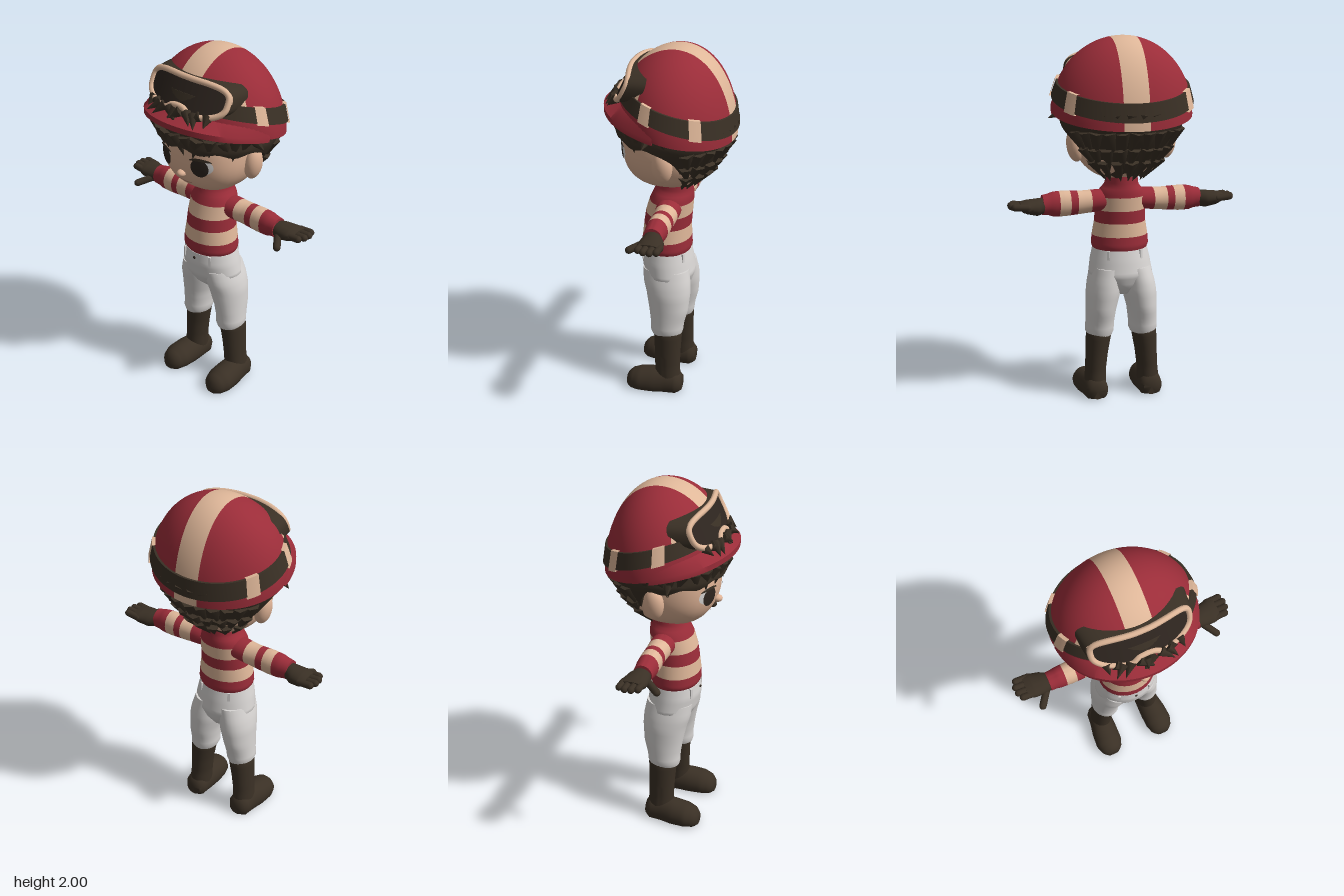
import * as THREE from 'three';
import { mergeVertices, toCreasedNormals } from 'three/addons/utils/BufferGeometryUtils.js';
import { ParametricGeometry } from 'three/addons/geometries/ParametricGeometry.js';

const { sin, cos, abs, sign, max, min, PI, pow, sqrt } = Math;
const V = (x, y, z) => new THREE.Vector3(x, y, z);

export function createModel() {
  const model = new THREE.Group();
  const mat = (name, color, side = THREE.FrontSide) => {
    const m = new THREE.MeshStandardMaterial({ color, side });
    m.name = name;
    return m;
  };
  const red = mat('silk red', 0x9b2d39, THREE.DoubleSide);
  const cream = mat('cream', 0xdfb799, THREE.DoubleSide);
  const skinTone = mat('skin', 0xdeb295);
  const brown = mat('hair and leather brown', 0x3a3025);
  const white = mat('breeches white', 0xd9d6d4);
  const eyeDark = mat('eye dark', 0x2e251f);
  const lip = mat('lip', 0xb98470);

  const add = (name, geo, m) => {
    const mesh = new THREE.Mesh(geo, m);
    mesh.name = name;
    model.add(mesh);
    return mesh;
  };
  // Surface from a rule f(u, v) -> [x, y, z]; side -1 mirrors it
  const surface = (name, m, f, nu, nv, side = 1) => {
    const g = new ParametricGeometry((u, v, t) => {
      const p = f(side > 0 ? u : 1 - u, v);
      t.set(p[0] * side, p[1], p[2]);
    }, nu, nv);
    g.deleteAttribute('normal');
    g.deleteAttribute('uv');
    return add(name, toCreasedNormals(mergeVertices(g, 1e-5), 0.95), m);
  };
  // Capped elliptical loft; rows are [s, c1, c2, r1, r2] along an axis
  const sample = (rows, s) => {
    let i = 0;
    while (i < rows.length - 2 && s > rows[i + 1][0]) i++;
    const t = min(1, max(0, (s - rows[i][0]) / (rows[i + 1][0] - rows[i][0])));
    return rows[i].map((q, k) => q + (rows[i + 1][k] - q) * t);
  };
  const loft = (name, m, rows, axis, side = 1, s0 = rows[0][0], s1 = rows[rows.length - 1][0], n = 16) =>
    surface(name, m, (u, v) => {
      const k = Math.round(v * (n + 2)), a = u * 2 * PI;
      const r = sample(rows, s0 + (s1 - s0) * min(n, max(0, k - 1)) / n);
      const e = k === 0 || k === n + 2 ? 0 : 1;
      const p = r[3] * e, q = r[4] * e;
      if (axis === 'y') return [r[1] + p * sin(a), r[0], r[2] + q * cos(a)];
      if (axis === 'x') return [r[0], r[1] - p * sin(a), r[2] + q * cos(a)];
      return [r[1] + p * cos(a), max(0, r[2] + q * sin(a)), r[0]];
    }, 28, n + 2, side);
  const ball = (name, m, x, y, z, rx, ry, rz) => {
    const b = add(name, new THREE.SphereGeometry(1, 20, 14), m);
    b.position.set(x, y, z);
    b.scale.set(rx, ry, rz);
    return b;
  };
  // Geometry standing on y turned to run from p to q
  const between = (name, geo, m, p, q) => {
    const b = add(name, geo, m);
    b.position.copy(p).add(q).multiplyScalar(0.5);
    b.quaternion.setFromUnitVectors(V(0, 1, 0), q.clone().sub(p).normalize());
    return b;
  };
  const lock = (name, p, q, w) => between(name, new THREE.ConeGeometry(w, p.distanceTo(q), 6), brown, p, q);
  const finger = (name, p, q, r) => between(name, new THREE.CapsuleGeometry(r, p.distanceTo(q), 5, 10), brown, p, q);

  // Jersey body with hoops
  const torso = [[0.835, 0, 0.03, 0.148, 0.128], [0.86, 0, 0.033, 0.16, 0.138], [0.915, 0, 0.033, 0.155, 0.135],
    [0.99, 0, 0.03, 0.142, 0.13], [1.06, 0, 0.022, 0.138, 0.128], [1.135, 0, 0.008, 0.135, 0.12],
    [1.17, 0, 0, 0.12, 0.112], [1.2, 0, -0.005, 0.092, 0.102], [1.26, 0, -0.015, 0.085, 0.09]];
  const hoops = [0.835, 0.915, 0.99, 1.06, 1.135, 1.26];
  for (let i = 0; i < 5; i++) loft('jerseyHoop', i % 2 ? cream : red, torso, 'y', 1, hoops[i], hoops[i + 1], 8);

  // Breeches seat
  loft('breechesSeat', white, [[0.59, 0, 0, 0.04, 0.07], [0.64, 0, 0.01, 0.12, 0.115], [0.7, 0, 0.017, 0.18, 0.142],
    [0.78, 0, 0.03, 0.167, 0.142], [0.845, 0, 0.034, 0.152, 0.132]], 'y');
  ball('waistButton', eyeDark, 0, 0.815, 0.17, 0.008, 0.008, 0.006);

  const arm = [[0.06, 1.115, 0, 0.055, 0.07], [0.13, 1.113, -0.005, 0.06, 0.068], [0.22, 1.108, -0.01, 0.063, 0.06],
    [0.32, 1.106, -0.01, 0.07, 0.06], [0.38, 1.105, -0.01, 0.068, 0.057], [0.41, 1.105, -0.01, 0.058, 0.053],
    [0.44, 1.103, -0.01, 0.054, 0.052]];
  const cuts = [0.06, 0.175, 0.25, 0.29, 0.35, 0.44];
  const glove = [[0.43, 1.1, -0.012, 0.042, 0.048], [0.47, 1.095, -0.02, 0.047, 0.062],
    [0.53, 1.1, -0.026, 0.037, 0.07], [0.565, 1.107, -0.028, 0.022, 0.065]];
  const leg = [[0.355, 0.125, 0.003, 0.07, 0.085], [0.37, 0.125, 0.003, 0.08, 0.092], [0.42, 0.123, 0, 0.079, 0.094],
    [0.5, 0.117, -0.005, 0.083, 0.11], [0.6, 0.103, 0, 0.095, 0.124], [0.66, 0.095, 0.01, 0.093, 0.132],
    [0.74, 0.075, 0.02, 0.09, 0.13]];
  const shaft = [[0.05, 0.155, -0.012, 0.062, 0.075], [0.15, 0.15, -0.007, 0.058, 0.071], [0.25, 0.142, -0.006, 0.062, 0.074],
    [0.36, 0.13, -0.005, 0.071, 0.08], [0.375, 0.13, -0.005, 0.066, 0.076]];
  const foot = [[-0.092, 0.155, 0.045, 0.045, 0.045], [-0.065, 0.156, 0.045, 0.065, 0.075], [0, 0.158, 0.045, 0.07, 0.085],
    [0.07, 0.164, 0.042, 0.078, 0.085], [0.15, 0.168, 0.04, 0.08, 0.075], [0.2, 0.168, 0.035, 0.062, 0.06],
    [0.222, 0.168, 0.03, 0.035, 0.035]];
  for (const s of [1, -1]) {
    // Sleeves, gloves
    for (let i = 0; i < 5; i++) loft('sleeveHoop', i % 2 ? cream : red, arm, 'x', s, cuts[i], cuts[i + 1], 8);
    loft('glove', brown, glove, 'x', s);
    [[-0.078, 0.6], [-0.046, 0.612], [-0.012, 0.61], [0.02, 0.595]].forEach(([z, x]) =>
      finger('gloveFinger', V(s * 0.53, 1.104, z), V(s * x, 1.11, z), 0.019));
    finger('gloveThumb', V(s * 0.465, 1.085, 0.025), V(s * 0.515, 1.06, 0.092), 0.02);
    // Legs, boots, belt loops
    loft('breechesLeg', white, leg, 'y', s);
    loft('bootShaft', brown, shaft, 'y', s);
    loft('bootFoot', brown, foot, 'z', s, -0.092, 0.222, 24);
    for (const [x, z] of [[0.09, 0.145], [0.09, -0.078]]) {
      const loop = add('beltLoop', new THREE.BoxGeometry(0.014, 0.06, 0.014), white);
      loop.position.set(s * x, 0.812, z);
      loop.rotation.y = s * sign(z) * 0.5;
    }
    ball('ear', skinTone, s * 0.257, 1.42, -0.01, 0.046, 0.09, 0.055).rotation.z = -s * 0.12;
  }

  // Rounded head
  const P = 2.4, H = [0.25, 0.242, 0.245], hc = [0, 1.472, 0.02];
  const head = new THREE.SphereGeometry(1, 40, 30), hp = head.attributes.position;
  for (let i = 0; i < hp.count; i++) {
    const q = [hp.getX(i), hp.getY(i), hp.getZ(i)];
    const k = pow(q.reduce((t, c) => t + pow(abs(c), P), 0), -1 / P);
    hp.setXYZ(i, ...q.map((c, j) => hc[j] + c * k * H[j]));
  }
  head.computeVertexNormals();
  add('head', head, skinTone);
  ball('nose', skinTone, 0, 1.375, 0.258, 0.025, 0.02, 0.028);
  const faceZ = (x, y) => hc[2] + H[2] * pow(max(0, 1 - pow(abs(x / H[0]), P) - pow(abs((y - hc[1]) / H[1]), P)), 1 / P);
  const patch = (name, m, cx, cy, rx, ry, off, bend = 0) => surface(name, m, (u, v) => {
    const x = cx + rx * v * sin(u * 2 * PI), y = cy + ry * v * cos(u * 2 * PI) + bend * (x - cx) ** 2;
    return [x, y, faceZ(x, y) + off];
  }, 28, 6);
  for (const s of [1, -1]) {
    patch('eyeWhite', white, s * 0.128, 1.447, 0.054, 0.046, 0.003);
    patch('iris', eyeDark, s * 0.117, 1.438, 0.046, 0.052, 0.006);
    patch('upperLash', brown, s * 0.122, 1.488, 0.058, 0.008, 0.008, -3);
  }
  patch('mouth', lip, 0, 1.315, 0.05, 0.005, 0.003, 4);

  // Hair cap with a short front and a tapering nape
  const hair = (a, y, k = 1) => {
    const t = max(0, (1.55 - y) / 0.3), r = k * (1 - 0.62 * pow(t, 1.3));
    return V(0.335 * r * sin(a), y, -0.02 + (cos(a) > 0 ? 0.325 : 0.31) * r * cos(a));
  };
  const hem = a => 1.545 - 0.27 * THREE.MathUtils.smoothstep(abs(a), 1.5, 2.3) - 0.03 * abs(sin(a)) + 0.012 * sin(11 * a);
  surface('hairCap', brown, (u, v) => {
    const a = (u - 0.5) * 2 * PI, k = Math.round(v * 13);
    if (k === 0) return [0, 1.45, -0.03];
    const top = 1.605 + 0.07 * cos(a), y = hem(a) + (top - hem(a)) * (k - 1) / 12;
    return hair(a, y).toArray();
  }, 84, 13);
  // Fringe and side locks
  for (let i = 0; i < 17; i++) {
    const a = -1.6 + i * 0.2, tip = 1.505 + 0.025 * sin(i * 2.3);
    lock('fringeLock', hair(a, 1.62, 0.97), hair(a + 0.13 * sin(i * 1.7), tip, 0.98), 0.042);
  }
  lock('sideFlick', V(0.3, 1.6, 0.05), V(0.39, 1.56, 0.06), 0.04);
  lock('sideFlick', V(-0.29, 1.58, 0.08), V(-0.35, 1.52, 0.09), 0.035);
  // Layered locks down the back
  [[1.61, 12, 1.02], [1.52, 11, 1.06], [1.43, 9, 1.1], [1.36, 7, 1.05]].forEach(([y, n, k], row) => {
    for (let i = 0; i < n; i++) {
      const a = 1.9 + (2 * PI - 3.8) * (i + 0.5) / n;
      lock('backLock', hair(a, y, 0.93), hair(a + 0.1 * sin(i * 2 + row), y - 0.13, k), 0.045);
    }
  });

  // Helmet: unit dome bent so the rim rises to the front
  const dome = (x, y, z) => {
    const Z = -0.03 + 0.308 * z;
    return [0.38 * x, 1.6 + 0.4 * y + 0.22 * Z * (1 - y), Z];
  };
  const panel = (name, m, t0, t1) => {
    const g = new THREE.SphereGeometry(1, 48, 18, PI / 2, PI, t0, t1 - t0).rotateZ(PI / 2), p = g.attributes.position;
    for (let i = 0; i < p.count; i++) p.setXYZ(i, ...dome(p.getX(i), p.getY(i), p.getZ(i)));
    g.computeVertexNormals();
    add(name, g, m);
  };
  const w = 0.185;
  panel('helmetSide', red, 0, PI / 2 - w);
  panel('helmetStripe', cream, PI / 2 - w, PI / 2 + w);
  panel('helmetSide', red, PI / 2 + w, PI);

  // Peak
  surface('helmetPeak', red, (u, v) => {
    const a = (u - 0.5) * 2.9, k = Math.round(v * 4) % 4;
    const reach = 1 + 0.27 * cos(a) ** 2;
    const ring = (t, r, dy) => {
      const q = sqrt(1 - t * t), p = dome(q * sin(a) * r, t, q * cos(a) * r);
      return [p[0], p[1] + dy, p[2]];
    };
    return [ring(0, 0.97, 0), ring(0, reach, -0.015), ring(0, reach, 0.015), ring(0.22, 0.98, 0)][k];
  }, 40, 4);

  // Bands wrapped on the dome: strap, buckles, tabs
  const band = (name, m, a0, a1, lo, hi, out, n) => surface(name, m, (u, v) => {
    const a = a0 + (a1 - a0) * u, k = Math.round(v * 4) % 4;
    const t = 0.3 + 0.1 * cos(a) + (k < 2 ? lo : hi), r = sqrt(1 - t * t) * (k === 1 || k === 2 ? out : 0.97);
    return dome(r * sin(a), t, r * cos(a));
  }, n, 4);
  band('goggleStrap', brown, -PI, PI, -0.1, 0.1, 1.035, 72);
  for (const s of [1, -1]) {
    for (const a of [1.3, 2.15]) band('strapBuckle', cream, s * a - 0.1, s * a + 0.1, -0.115, 0.115, 1.055, 6);
    band('strapTab', cream, s * 0.95 - 0.13, s * 0.95 + 0.13, 0.08, 0.24, 1.012, 6);
  }

  // Goggles curved over the front of the dome
  const gy = 1.815;
  const rim = (a, k = 1, dz = 0) => {
    const x = 0.258 * k * sign(sin(a)) * pow(abs(sin(a)), 0.65);
    let y = 0.082 * k * sign(cos(a)) * pow(abs(cos(a)), 0.65);
    if (y < 0) y += 0.055 * k * Math.exp(-((x / 0.045) ** 2));
    y += gy;
    return [x, y, 0.292 - 0.5 * (y - 1.73) - 0.9 * x * x + dz];
  };
  surface('goggleLens', eyeDark, (u, v) => rim(u * 2 * PI, v), 60, 8);
  surface('goggleShroud', brown, (u, v) => rim(u * 2 * PI, 1.07 + 0.05 * v, -0.09 * v), 60, 3);
  const loopPts = Array.from({ length: 60 }, (_, i) => V(...rim((i + 0.5) / 60 * 2 * PI)));
  add('goggleFrame', new THREE.TubeGeometry(new THREE.CatmullRomCurve3(loopPts, true), 120, 0.016, 8, true), cream);

  // Tuft lying over the peak
  for (let i = 0; i < 11; i++) {
    const x = -0.2 + i * 0.038, z = 0.3 - 1.2 * x * x;
    lock('peakTuft', V(x, 1.745, z - 0.01), V(x + 0.09 * sin(i * 1.9), 1.695 + 0.015 * cos(i * 2.6), z + 0.04), 0.03);
  }
  return model;
}
